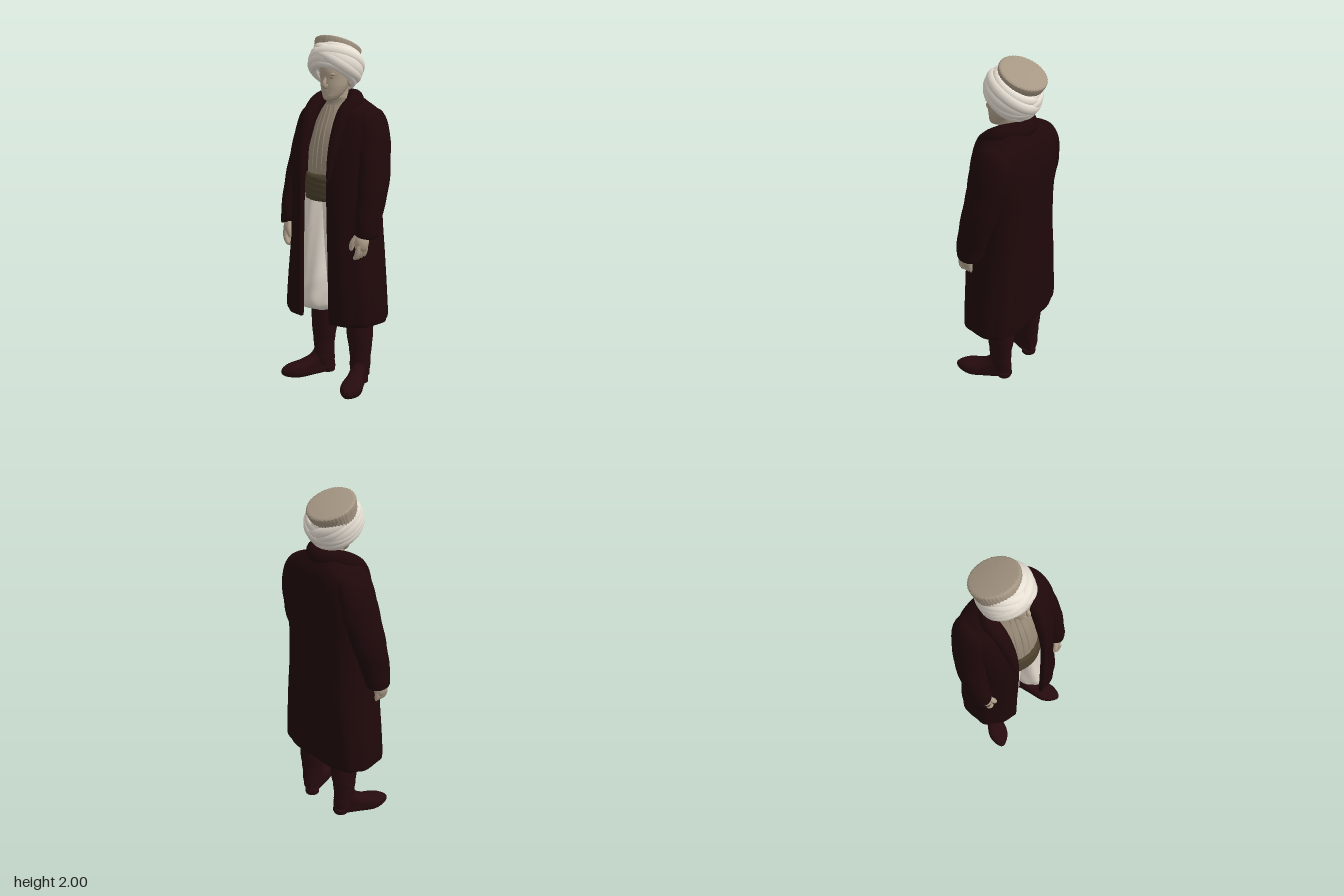
import * as THREE from 'three';
import { toCreasedNormals } from 'three/addons/utils/BufferGeometryUtils.js';

const mat = (name, color) => Object.assign(new THREE.MeshStandardMaterial({ color }), { name });
const V = (x, y, z) => new THREE.Vector3(x, y, z);

// Catmull-Rom refinement of a list of number rows
function refine(rows, k = 5) {
  const out = [];
  const at = i => rows[Math.max(0, Math.min(rows.length - 1, i))];
  for (let i = 0; i < rows.length - 1; i++) {
    for (let s = 0; s < k; s++) {
      const t = s / k;
      out.push(rows[i].map((b, c) => {
        const a = at(i - 1)[c], d = at(i + 1)[c], e = at(i + 2)[c];
        return 0.5 * (2 * b + (d - a) * t + (2 * a - 5 * b + 4 * d - e) * t * t + (3 * b - a - 3 * d + e) * t ** 3);
      }));
    }
  }
  out.push(rows[rows.length - 1]);
  return out;
}

// Surface through closed rings, listed from bottom to top
function skin(rings, caps = true) {
  const n = rings[0].length, pos = [], idx = [];
  rings.forEach(r => r.forEach(p => pos.push(p.x, p.y, p.z)));
  for (let i = 0; i < rings.length - 1; i++) {
    for (let j = 0; j < n; j++) {
      const a = i * n + j, b = i * n + (j + 1) % n;
      idx.push(a, b, b + n, a, b + n, a + n);
    }
  }
  if (caps) {
    [0, rings.length - 1].forEach((r, top) => {
      const c = V(0, 0, 0);
      rings[r].forEach(p => c.addScaledVector(p, 1 / n));
      const ci = pos.length / 3;
      pos.push(c.x, c.y, c.z);
      for (let j = 0; j < n; j++) {
        const a = r * n + j, b = r * n + (j + 1) % n;
        idx.push(ci, top ? a : b, top ? b : a);
      }
    });
  }
  const g = new THREE.BufferGeometry();
  g.setAttribute('position', new THREE.Float32BufferAttribute(pos, 3));
  g.setIndex(idx);
  return toCreasedNormals(g, 0.9);
}

// Stack of ellipses, rows of [y, centre x, centre z, radius x, radius z]
function loft(rows, { n = 36, fold = () => 1, warp, k = 5 } = {}) {
  return skin(refine(rows, k).map(([y, cx, cz, rx, rz]) => Array.from({ length: n }, (_, j) => {
    const t = j / n * Math.PI * 2, f = fold(t, y);
    const p = V(cx + Math.sin(t) * rx * f, y, cz + Math.cos(t) * rz * f);
    if (warp) warp(p);
    return p;
  })));
}

// Tube whose radius follows a function of its length
function taperedTube(points, radius, seg = 24, sides = 12) {
  const curve = new THREE.CatmullRomCurve3(points.map(p => V(...p)));
  const g = new THREE.TubeGeometry(curve, seg, 1, sides), a = g.attributes.position, v = V(0, 0, 0);
  for (let i = 0; i < a.count; i++) {
    const u = Math.floor(i / (sides + 1)) / seg, c = curve.getPointAt(u);
    v.fromBufferAttribute(a, i).sub(c).multiplyScalar(radius(u)).add(c);
    a.setXYZ(i, v.x, v.y, v.z);
  }
  return g;
}

export function createModel() {
  const model = new THREE.Group();
  model.name = 'turbanedMan';
  const coatM = mat('dark maroon cloth', 0x1f080a), bootM = mat('maroon leather', 0x260b0e);
  const skinM = mat('skin', 0xb0a08b), vestM = mat('beige shirt', 0x998b78);
  const capM = mat('taupe felt', 0xa69784), wrapM = mat('turban white', 0xece4d8);
  const pantsM = mat('cream cloth', 0xe9e0d3), sashM = mat('olive sash', 0x4b402c);
  const eyeM = mat('eye brown', 0x6a5d4d);
  const add = (name, geo, material, parent = model) => {
    const m = new THREE.Mesh(geo, material);
    m.name = name;
    parent.add(m);
    return m;
  };
  const ball = (name, material, p, s, parent = model) => {
    const m = add(name, new THREE.SphereGeometry(1, 20, 14), material, parent);
    m.position.set(...p);
    m.scale.set(...s);
    return m;
  };

  // Long open coat with thickness: [y, half width, front z, back z, half opening, thickness]
  const coatRows = [
    [0.408, 0.305, 0.172, -0.18, 0.118, 0.001], [0.43, 0.318, 0.188, -0.193, 0.112, 0.022],
    [0.6, 0.303, 0.192, -0.198, 0.11, 0.025], [0.8, 0.28, 0.192, -0.203, 0.106, 0.025],
    [1.0, 0.262, 0.192, -0.2, 0.1, 0.025], [1.2, 0.258, 0.187, -0.2, 0.095, 0.025],
    [1.35, 0.265, 0.167, -0.204, 0.088, 0.025], [1.46, 0.265, 0.138, -0.203, 0.085, 0.025],
    [1.55, 0.25, 0.105, -0.19, 0.09, 0.025], [1.6, 0.215, 0.082, -0.175, 0.105, 0.025],
    [1.64, 0.15, 0.05, -0.15, 0.115, 0.02], [1.66, 0.125, 0.03, -0.13, 0.11, 0.001]];
  const m = 72, front = 2.6, back = 3.1;
  const coatRings = refine(coatRows).map(([y, rx, zf, zb, w, th]) => {
    const start = Math.asin(Math.pow(w / rx, front / 2)), cz = (zf + zb) / 2, rz = (zf - zb) / 2;
    const point = (j, inset) => {
      const t = start + (2 * Math.PI - 2 * start) * j / (m - 1), s = Math.sin(t), c = Math.cos(t);
      const f = 1 + 0.018 * Math.max(0, 1.3 - y) * Math.cos(11 * t), e = 2 / (c < 0 ? back : front);
      return V(Math.sign(s) * Math.abs(s) ** e * (rx * f - inset), y,
        cz + Math.sign(c) * Math.abs(c) ** e * (rz * f - inset));
    };
    const ids = Array.from({ length: m }, (_, j) => j);
    return [...ids.map(j => point(j, 0)), ...ids.reverse().map(j => point(j, th))];
  });
  add('coat', skin(coatRings, false), coatM);

  // Rolled collar running into the lapels
  const half = [[0.1, 1.2, 0.174], [0.11, 1.35, 0.15], [0.115, 1.47, 0.114], [0.122, 1.58, 0.06], [0.118, 1.645, -0.03]];
  add('collar', taperedTube([...half, [0, 1.655, -0.112], ...half.map(([x, y, z]) => [-x, y, z]).reverse()],
    u => 0.004 + 0.044 * Math.sin(Math.PI * u) ** 0.6, 80, 14), coatM);

  for (const s of [1, -1]) {
    const side = s > 0 ? 'left' : 'right';

    // Sleeve, its cuff cut higher on the inside
    add(side + 'Sleeve', loft([
      [0.915, s * 0.278, 0.06, 0.045, 0.062], [0.928, s * 0.28, 0.058, 0.06, 0.08],
      [1.03, s * 0.28, 0.042, 0.063, 0.09], [1.2, s * 0.272, -0.005, 0.073, 0.106],
      [1.4, s * 0.24, -0.045, 0.073, 0.117], [1.5, s * 0.218, -0.056, 0.075, 0.114],
      [1.565, s * 0.2, -0.058, 0.068, 0.1], [1.6, s * 0.18, -0.06, 0.055, 0.075],
      [1.615, s * 0.16, -0.06, 0.01, 0.01]],
    { fold: (t, y) => 1 + 0.018 * Math.sin(2 * t + y * 38) * (y < 1.45 ? 1 : 0.3),
      warp: p => { p.y += Math.max(0, 1.03 - p.y) * 2.5 * Math.max(0, 0.33 - Math.abs(p.x)); } }), coatM);

    // Hand with fingers and thumb
    const hand = new THREE.Group();
    hand.name = side + 'Hand';
    hand.position.y = -0.016;
    model.add(hand);
    ball('palm', skinM, [s * 0.27, 0.912, 0.09], [0.037, 0.062, 0.046], hand);
    for (let i = 0; i < 4; i++) {
      const z = 0.062 + i * 0.021, low = 0.808 + Math.abs(i - 1.4) * 0.008;
      add('finger', taperedTube([[s * 0.278, 0.9, z], [s * 0.274, 0.86, z + 0.002], [s * 0.258, 0.828, z], [s * 0.238, low, z - 0.004]],
        u => 0.0145 * Math.sqrt(Math.max(0, 1 - u ** 6)), 12, 8), skinM, hand);
    }
    add('thumb', taperedTube([[s * 0.26, 0.95, 0.112], [s * 0.24, 0.905, 0.132], [s * 0.229, 0.862, 0.13]],
      u => 0.0155 * Math.sqrt(Math.max(0, 1 - u ** 6)), 12, 8), skinM, hand);

    // Baggy trouser leg
    add(side + 'TrouserLeg', loft([
      [0.415, s * 0.13 + 0.006, -0.045, 0.08, 0.092], [0.45, s * 0.13 + 0.006, -0.01, 0.094, 0.13],
      [0.52, s * 0.122 + 0.006, 0.005, 0.096, 0.145], [0.62, s * 0.106 + 0.005, 0.005, 0.102, 0.145],
      [0.8, s * 0.088, 0.003, 0.096, 0.145],
      [1.0, s * 0.075, 0.0, 0.095, 0.147], [1.12, s * 0.065, 0.0, 0.095, 0.145]],
    { n: 60, fold: (t, y) => 1 + 0.03 * Math.sin(7 * t + s * y * 5) + 0.025 * Math.sin(y * 45 + s * 3 * t) * Math.max(0, 0.75 - y) * 3 }), pantsM);

    // Boot shaft
    const boot = new THREE.Group();
    boot.name = side + 'Boot';
    boot.position.x = 0.007;
    model.add(boot);
    add('shaft', loft([
      [0.05, s * 0.14, -0.055, 0.046, 0.062], [0.1, s * 0.141, -0.052, 0.05, 0.07],
      [0.2, s * 0.142, -0.052, 0.057, 0.072], [0.3, s * 0.138, -0.052, 0.07, 0.084],
      [0.46, s * 0.132, -0.05, 0.079, 0.09]],
    { fold: (t, y) => 1 + 0.02 * Math.sin(y * 75 + 2 * t) * (y < 0.25 ? 1 : 0.2) }), bootM, boot);

    // Splayed foot, broad at the rounded toe
    const foot = new THREE.Group();
    foot.name = 'foot';
    foot.position.set(s * 0.14, 0, -0.05);
    foot.rotation.y = s * 0.42;
    boot.add(foot);
    add('shoe', loft([
      [0.002, 0, 0.1, 0.042, 0.163], [0.016, 0, 0.103, 0.047, 0.174], [0.04, 0, 0.103, 0.048, 0.173],
      [0.062, 0, 0.088, 0.047, 0.155], [0.08, 0, 0.05, 0.046, 0.118], [0.11, 0, 0.015, 0.045, 0.08],
      [0.15, 0, 0, 0.04, 0.06]],
    { n: 48, warp: p => {
      p.x *= 0.92 + 0.55 * Math.exp(-(((p.z - 0.21) / 0.09) ** 2));
      if (p.z > 0.17) p.y += (p.z - 0.17) * 0.06;
    } }), bootM, foot);
    add('heel', new THREE.CylinderGeometry(0.044, 0.043, 0.03, 24), bootM, foot).position.set(0, 0.015, -0.022);
  }

  // Shirt with raised vertical trims and a standing collar
  add('shirt', loft([
    [1.2, 0, 0, 0.16, 0.145], [1.35, 0, -0.01, 0.165, 0.145], [1.47, 0, -0.025, 0.15, 0.135],
    [1.56, 0, -0.035, 0.12, 0.11], [1.61, 0, -0.03, 0.085, 0.085], [1.635, 0.005, -0.025, 0.068, 0.073],
    [1.66, 0.005, -0.02, 0.066, 0.072]],
  { n: 60, fold: (t, y) => 1 + 0.012 * Math.sin(24 * t) * (y < 1.6 ? 1 : 0) }), vestM);
  for (const x of [-0.05, -0.016, 0.016, 0.05]) {
    add('shirtTrim', taperedTube([[x * 1.1, 1.23, 0.138 - x * x * 4], [x * 1.1, 1.35, 0.133 - x * x * 4],
      [x, 1.47, 0.109 - x * x * 4], [x * 0.85, 1.56, 0.073 - x * x * 4], [x * 0.7, 1.62, 0.052 - x * x * 4]],
    () => 0.006, 24, 8), vestM);
  }

  // Wound sash
  add('sash', loft([[1.095, 0, 0, 0.165, 0.15], [1.11, 0, 0, 0.175, 0.163], [1.17, 0, 0, 0.178, 0.167],
    [1.23, 0, 0, 0.172, 0.16], [1.245, 0, 0, 0.16, 0.145]],
  { n: 60, k: 10, fold: (t, y) => 1 + 0.014 * Math.sin(y * 190 + 4 * Math.sin(t + 0.4)) }), sashM);

  // Neck and head
  add('neck', loft([[1.58, 0.005, -0.025, 0.06, 0.065], [1.66, 0.01, -0.01, 0.055, 0.06], [1.75, 0.01, -0.01, 0.06, 0.07]]), skinM);
  const head = new THREE.Group();
  head.name = 'head';
  model.add(head);
  add('face', loft([
    [1.645, 0.018, 0.066, 0.012, 0.014], [1.65, 0.018, 0.062, 0.028, 0.034], [1.665, 0.017, 0.052, 0.044, 0.05],
    [1.69, 0.016, 0.036, 0.06, 0.066], [1.725, 0.015, 0.02, 0.074, 0.084], [1.765, 0.014, 0.006, 0.081, 0.098],
    [1.81, 0.012, 0, 0.084, 0.108], [1.88, 0, -0.01, 0.084, 0.105]]), skinM, head);
  add('nose', taperedTube([[0.018, 1.79, 0.094], [0.019, 1.765, 0.102], [0.02, 1.738, 0.115], [0.02, 1.727, 0.113], [0.02, 1.718, 0.095]],
    u => 0.005 + 0.008 * Math.min(1, u * 1.4)), skinM, head);
  for (const s of [1, -1]) {
    const x = 0.018 + s * 0.033;
    ball('eye', eyeM, [x, 1.769, 0.091], [0.012, 0.003, 0.0045], head);
    ball('brow', skinM, [x, 1.787, 0.086], [0.026, 0.008, 0.014], head);
    ball('nostril', skinM, [0.02 + s * 0.01, 1.727, 0.102], [0.008, 0.007, 0.01], head);
    ball('ear', skinM, [0.01 + s * 0.082, 1.755, -0.015], [0.012, 0.032, 0.02], head);
  }
  ball('upperLip', skinM, [0.019, 1.701, 0.096], [0.022, 0.005, 0.009], head);
  ball('lowerLip', skinM, [0.019, 1.691, 0.094], [0.019, 0.006, 0.009], head);
  ball('chin', skinM, [0.018, 1.664, 0.085], [0.022, 0.017, 0.018], head);

  // Ribbed edge of the felt cap across the forehead
  add('capEdge', loft([[1.83, 0.01, 0, 0.086, 0.11], [1.84, 0.009, -0.001, 0.089, 0.113], [1.88, 0.006, -0.008, 0.088, 0.109]],
    { n: 160, fold: t => 1 + 0.01 * Math.cos(40 * t) }), capM, head);

  // Turban: a thick roll crossed by tilted wraps, raised over the forehead
  const turban = new THREE.Group();
  turban.name = 'turban';
  turban.position.set(-0.013, 1.832, -0.02);
  turban.rotation.x = -0.5;
  model.add(turban);
  ball('turbanCore', wrapM, [0, 0.035, -0.005], [0.138, 0.058, 0.145], turban);
  // [height, roll radius, ring radius, tilt sideways, tilt forwards]
  const wraps = [[0, 0.048, 0.104, 0, 0], [-0.05, 0.025, 0.11, 0.05, -0.1], [-0.025, 0.027, 0.122, 0.18, -0.08],
    [0.008, 0.027, 0.128, 0.3, 0], [0.0, 0.026, 0.127, -0.26, 0], [0.028, 0.027, 0.12, -0.24, 0],
    [0.045, 0.026, 0.108, 0.16, 0], [0.055, 0.025, 0.1, -0.05, 0]];
  for (const [y, r, R, tz, tx] of wraps) {
    const wrap = add('turbanWrap', new THREE.TorusGeometry(R, r, 14, 56).rotateX(Math.PI / 2).scale(1, 1.3, 1.06), wrapM, turban);
    wrap.position.y = y;
    wrap.rotation.set(tx, 0, tz);
  }

  // Fluted felt cap tipped back out of the turban
  const cap = add('cap', loft([[-0.12, 0, 0, 0.115, 0.115], [-0.05, 0, 0, 0.126, 0.126], [-0.014, 0, 0, 0.132, 0.132],
    [-0.003, 0, 0, 0.128, 0.128], [0, 0, 0, 0.115, 0.115]],
  { n: 176, fold: t => 1 + 0.012 * Math.cos(44 * t) }), capM);
  cap.position.set(-0.038, 1.946, -0.07);
  cap.rotation.set(-0.42, 0, 0.02);
  return model;
}
